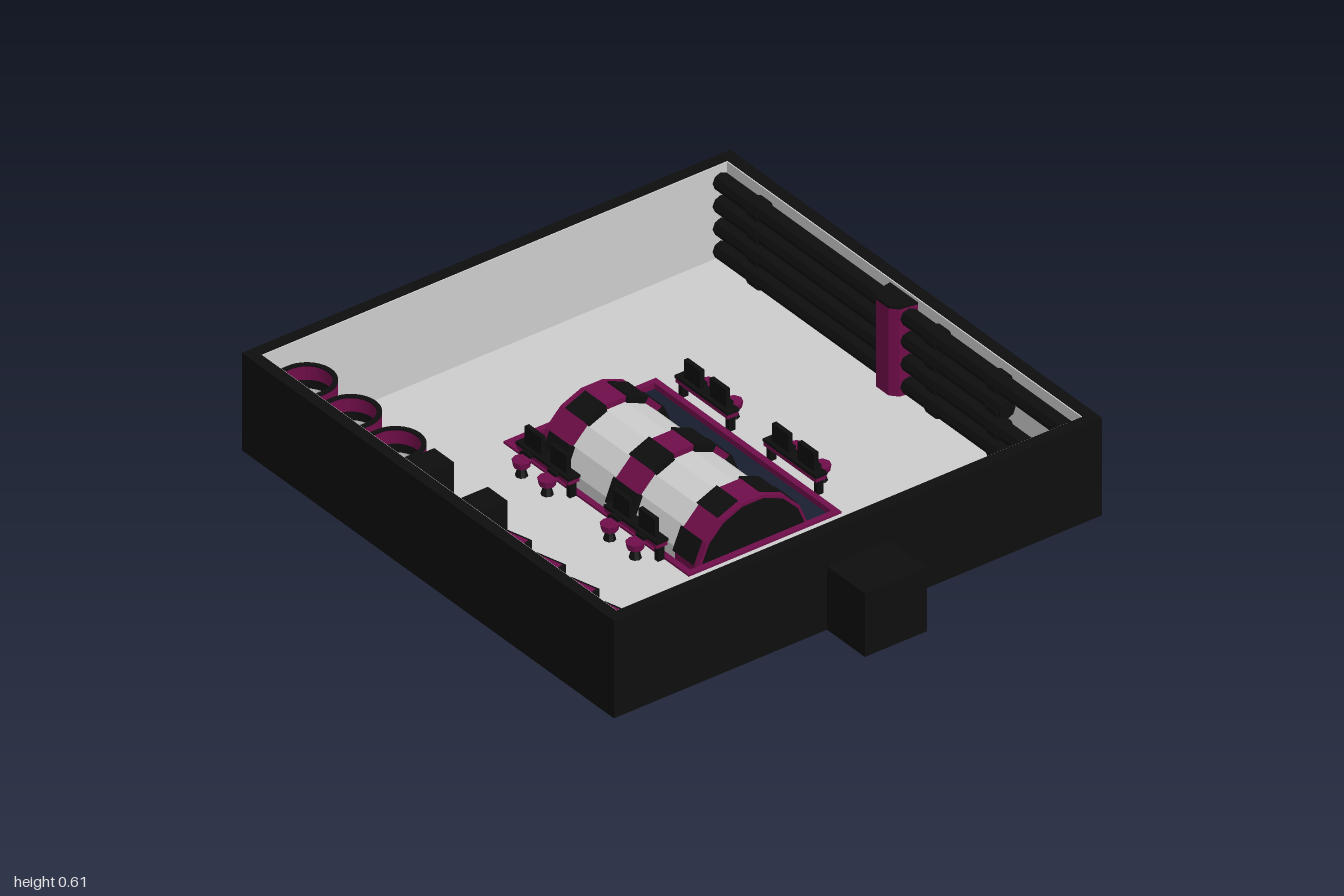
import * as THREE from 'three';

const black = new THREE.MeshStandardMaterial({ color: 0x0e0e0e }); black.name = 'black';
const purple = new THREE.MeshStandardMaterial({ color: 0x6f0d49 }); purple.name = 'purple';
const grey = new THREE.MeshStandardMaterial({ color: 0xcccccc }); grey.name = 'lightGrey';

export function createModel() {
  const model = new THREE.Group();
  model.name = 'reactorRoom';

  // Faceted mesh
  const add = (name, geo, mat) => {
    const g = geo.index ? geo.toNonIndexed() : geo;
    g.computeVertexNormals();
    const m = new THREE.Mesh(g, mat);
    m.name = name;
    model.add(m);
    return m;
  };
  // Box given by its limits
  const box = (name, mat, x0, x1, y0, y1, z0, z1) => add(name,
    new THREE.BoxGeometry(x1 - x0, y1 - y0, z1 - z0)
      .translate((x0 + x1) / 2, (y0 + y1) / 2, (z0 + z1) / 2), mat);
  // Flat outline in x and z, raised from y0 to y1
  const slab = (name, mat, shape, y0, y1) => add(name,
    new THREE.ExtrudeGeometry(shape, { depth: y1 - y0, bevelEnabled: false, curveSegments: 10 })
      .rotateX(-Math.PI / 2).translate(0, y0, 0), mat);
  const polygon = (pts) => new THREE.Shape(pts.map(([x, z]) => new THREE.Vector2(x, -z)));
  const rod = (name, mat, r, x, y, z0, z1, sides = 8) => add(name,
    new THREE.CylinderGeometry(r, r, z1 - z0, sides).rotateX(Math.PI / 2)
      .translate(x, y, (z0 + z1) / 2), mat);

  // Floor with a pit opening, and its frame
  const rect = (x, z0, z1) => [[-x, z0], [-x, z1], [x, z1], [x, z0]];
  const floor = polygon(rect(0.865, -0.96, 0.775));
  floor.holes.push(polygon(rect(0.265, -0.525, 0.345)));
  slab('floor', grey, floor, 0.273, 0.283);
  const frame = polygon(rect(0.283, -0.543, 0.362));
  frame.holes.push(polygon(rect(0.262, -0.522, 0.341)));
  slab('pitFrame', purple, frame, 0.27, 0.29);

  // Outer walls with a light lining
  const B = 0.266, T = 0.61, D = 0.48;
  box('backWall', black, -0.905, 0.905, B, T, -1, -0.96);
  box('backLining', grey, -0.865, 0.865, B, T - 0.003, -0.96, -0.956);
  for (const s of [-1, 1]) {
    box('sideWall', black, Math.min(s * 0.865, s * 0.905), Math.max(s * 0.865, s * 0.905), B, T, -0.96, 0.775);
    box('sideLining', grey, Math.min(s * 0.861, s * 0.865), Math.max(s * 0.861, s * 0.865), B, T - 0.003, -0.956, 0.771);
    const [a, b] = s < 0 ? [-0.905, -0.1] : [0.1, 0.905];
    const [c, d] = s < 0 ? [-0.865, -0.1] : [0.1, 0.865];
    box('frontWall', black, a, b, B, T, 0.775, 0.815);
    box('frontLining', grey, c, d, B, T - 0.003, 0.771, 0.775);
    box('tunnelSide', black, s < 0 ? -0.115 : 0.1, s < 0 ? -0.1 : 0.115, B, 0.49, 0.815, 1);
  }
  box('doorLintel', black, -0.1, 0.1, D, T, 0.775, 0.815);
  box('lintelLining', grey, -0.1, 0.1, D, T - 0.003, 0.771, 0.775);
  box('tunnelRoof', black, -0.1, 0.1, D, 0.49, 0.815, 1);
  box('tunnelEnd', black, -0.1, 0.1, B, D, 0.985, 1);
  box('tunnelFloor', grey, -0.1, 0.1, 0.273, 0.283, 0.775, 0.985);
  add('doorLamp', new THREE.SphereGeometry(0.009, 8, 6).translate(0, 0.515, 0.755), black);
  box('lampArm', black, -0.004, 0.004, 0.511, 0.519, 0.735, 0.771);

  // Reactor drum lying in the pit
  const cy = 0.21, cz = -0.09, step = Math.PI / 8;
  const drum = (name, mat, r, z0, z1) => add(name,
    new THREE.CylinderGeometry(r, r, z1 - z0, 16, 1, false, step / 2)
      .rotateX(Math.PI / 2).translate(0, cy, (z0 + z1) / 2), mat);
  drum('reactorBody', grey, 0.187, -0.47, 0.29);
  const pad = (i, r, z0, z1, mat) => {
    const p = [[0.18, -0.5], [r, -0.5], [r, 0.5], [0.18, 0.5]].map(([q, k]) =>
      new THREE.Vector2(q * Math.sin((i + k) * step), -q * Math.cos((i + k) * step)));
    add('bandPad', new THREE.ExtrudeGeometry(new THREE.Shape(p), { depth: z1 - z0, bevelEnabled: false })
      .translate(0, cy, z0), mat);
  };
  for (let i = 0; i < 16; i++) {
    const dark = i % 2 === 1;
    const r = dark ? 0.21 : 0.206, m = dark ? black : purple;
    const g = dark ? 0 : 0.008;
    pad(i, r, cz - 0.06 + g, cz + 0.06 - g, m);
    for (const s of [-1, 1]) {
      const e0 = cz + s * (0.27 + g), e1 = cz + s * 0.372;
      pad(i, r, Math.min(e0, e1), Math.max(e0, e1), m);
    }
  }
  for (const s of [-1, 1]) {
    const z = cz + s * 0.38;
    drum('endRing', purple, 0.207, z - 0.013, z + 0.013);
    drum('endCap', black, 0.197, z + s * 0.014 - 0.003, z + s * 0.014 + 0.003);
    const h = cz + s * 0.41;
    box('endHub', black, -0.075, 0.075, 0.105, 0.21, h - 0.022, h + 0.022);
  }

  // Desks, screens and stools beside the pit
  for (const s of [-1, 1]) for (const z of [-0.31, 0.12]) {
    const x = s * 0.295;
    box('deskTop', black, x - 0.022, x + 0.022, 0.348, 0.357, z - 0.13, z + 0.13);
    box('deskEdge', purple, x - 0.02, x + 0.02, 0.333, 0.348, z - 0.127, z + 0.127);
    for (const k of [-1, 1]) {
      const q = z + k * 0.0625;
      box('deskLeg', black, x - 0.012, x + 0.012, 0.283, 0.335, z + k * 0.115 - 0.008, z + k * 0.115 + 0.008);
      box('screen', black, x - 0.008, x + 0.008, 0.357, 0.42, q - 0.04, q + 0.04);
      box('keyboard', black, s * 0.32 - 0.01, s * 0.32 + 0.01, 0.345, 0.355, q - 0.02, q + 0.02);
      add('stoolSeat', new THREE.CylinderGeometry(0.03, 0.026, 0.022, 8).translate(s * 0.345, 0.328, q), purple);
      add('stoolStem', new THREE.CylinderGeometry(0.01, 0.02, 0.036, 8).translate(s * 0.345, 0.301, q), black);
    }
  }

  // Three rounded tanks on the right wall
  const arch = (r, z) => {
    const p = new THREE.Shape();
    p.moveTo(-0.864, -z - r);
    p.lineTo(-0.79, -z - r);
    p.absarc(-0.79, -z, r, -Math.PI / 2, Math.PI / 2, false);
    p.lineTo(-0.864, -z + r);
    p.closePath();
    return p;
  };
  const shell = (name, mat, r, t, z, y0, y1) => {
    const p = arch(r, z);
    p.holes.push(arch(r - t, z));
    slab(name, mat, p, y0, y1);
  };
  for (const z of [-0.835, -0.62, -0.403]) {
    shell('tankGlass', grey, 0.083, 0.006, z, 0.31, 0.49);
    shell('tankBase', black, 0.092, 0.016, z, 0.283, 0.31);
    shell('tankBaseTrim', purple, 0.095, 0.01, z, 0.285, 0.296);
    shell('tankCollar', black, 0.09, 0.014, z, 0.475, 0.505);
    shell('tankCrown', purple, 0.092, 0.015, z, 0.505, 0.552);
    shell('tankRim', black, 0.0925, 0.016, z, 0.552, 0.557);
  }

  // Control cabinet between two pillars
  box('cabinetPillar', black, -0.864, -0.745, 0.283, 0.59, -0.272, -0.175);
  box('cabinetPillar', black, -0.864, -0.745, 0.283, 0.59, -0.085 + 0.075, 0.085);
  box('cabinetBody', purple, -0.864, -0.8, 0.283, 0.5, -0.175, -0.01);
  box('cabinetDesk', purple, -0.8, -0.775, 0.283, 0.4, -0.15, -0.03);
  for (const z of [-0.135, -0.092, -0.05])
    box('cabinetBar', black, -0.862, -0.815, 0.5, 0.507, z - 0.01, z + 0.01);

  // Hanging rack with four tapered packs
  box('rackRail', black, -0.862, -0.848, 0.56, 0.575, 0.085, 0.77);
  box('rackRail', black, -0.862, -0.848, 0.33, 0.345, 0.085, 0.77);
  rod('rackRod', purple, 0.007, -0.81, 0.5, 0.085, 0.77);
  for (const z of [0.18, 0.345, 0.51, 0.675]) {
    slab('pack', purple, polygon([[-0.83, z - 0.055], [-0.83, z + 0.055], [-0.768, z + 0.04], [-0.793, z - 0.055]]), 0.37, 0.53);
    slab('packEdge', black, polygon([[-0.83, z + 0.055], [-0.83, z + 0.064], [-0.762, z + 0.047], [-0.79, z - 0.058], [-0.793, z - 0.055], [-0.768, z + 0.04]]), 0.365, 0.532);
    box('packHanger', black, -0.85, -0.82, 0.494, 0.506, z - 0.006, z + 0.006);
  }

  // Pipes along the left wall with flanges and a bracket
  for (const [y, z0, z1] of [[0.555, -0.95, 0.77], [0.475, -0.95, 0.45], [0.395, -0.95, 0.62], [0.315, -0.95, 0.77]]) {
    rod('wallPipe', black, 0.03, 0.832, y, z0, z1);
    for (const z of [-0.76, 0.11, 0.41]) rod('pipeFlange', black, 0.036, 0.832, y, z - 0.025, z + 0.025);
  }
  add('drainPipe', new THREE.CylinderGeometry(0.028, 0.028, 0.06, 8).translate(0.828, 0.288, 0.715), black);
  const bracket = polygon([[0.86, -0.16], [0.8, -0.15], [0.778, -0.12], [0.778, -0.06], [0.8, -0.035], [0.86, -0.025]]);
  slab('pipeBracket', purple, bracket, 0.283, 0.59);
  slab('bracketCap', black, bracket, 0.59, 0.598);
  slab('bracketFoot', black, bracket, 0.264, 0.283);

  // Two lockers beside the door
  for (const x of [-0.257, -0.44]) {
    box('locker', black, x - 0.071, x + 0.071, 0.283, 0.45, 0.716, 0.771);
    box('lockerTrim', purple, x - 0.052, x + 0.052, 0.302, 0.432, 0.713, 0.716);
    box('lockerDoor', grey, x - 0.042, x + 0.042, 0.312, 0.422, 0.71, 0.713);
  }
  return model;
}
